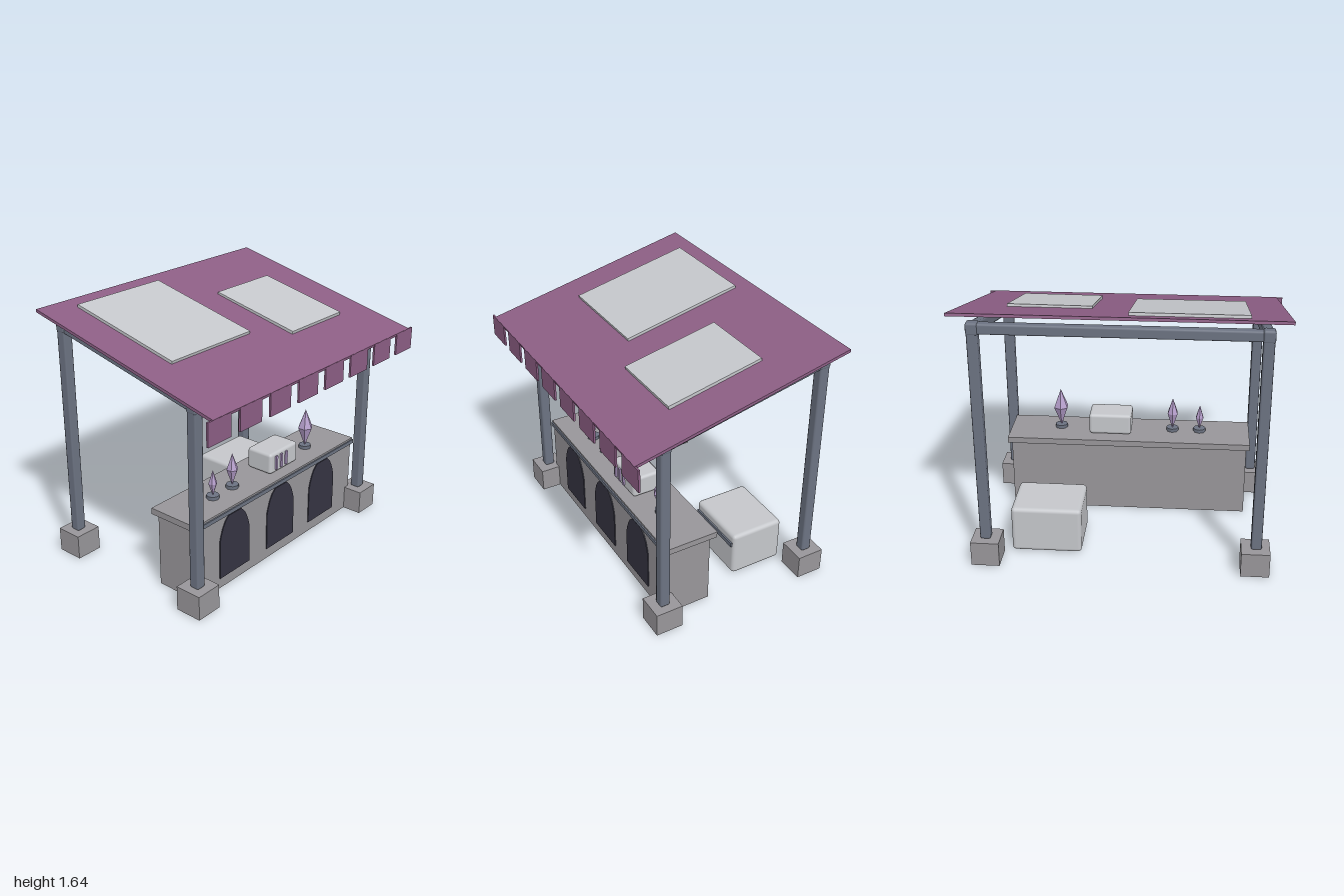
import * as THREE from 'three';
import { RoundedBoxGeometry } from 'three/addons/geometries/RoundedBoxGeometry.js';

const mat = (name, color, flatShading = false) => {
  const m = new THREE.MeshStandardMaterial({ color, flatShading });
  m.name = name;
  return m;
};

export function createModel() {
  const model = new THREE.Group();
  const cloth = mat('plum cloth', 0x8c5e84);
  const metal = mat('slate metal', 0x6c7382);
  const facetedMetal = metal;
  const stone = mat('grey stone', 0x98969a);
  const pale = mat('pale grey', 0xc5c7cb);
  const dark = mat('dark recess', 0x353442);
  const lilac = mat('lilac crystal', 0xb39cc9, true);

  const add = (name, geo, material, x, y, z, parent = model) => {
    const mesh = new THREE.Mesh(geo, material);
    mesh.name = name;
    mesh.position.set(x, y, z);
    parent.add(mesh);
    return mesh;
  };
  const box = (name, m, w, h, d, x, y, z, parent) =>
    add(name, new THREE.BoxGeometry(w, h, d), m, x, y, z, parent);
  const rounded = (name, m, w, h, d, r, x, y, z, seg = 1) =>
    add(name, new RoundedBoxGeometry(w, h, d, seg, r), m, x, y, z);

  // Frame: stone feet, posts, corner joints and sloping side beams
  const frontZ = 0.44, backZ = -0.597, frontY = 1.3, backY = 1.53;
  for (const s of [-1, 1]) {
    const x = s * 0.832;
    for (const [side, z, footZ, top] of [['front', frontZ, 0.44, frontY], ['back', backZ, -0.597, backY]]) {
      box(side + 'Foot', stone, 0.175, 0.158, 0.176, s * 0.828, 0.079, footZ);
      rounded(side + 'Post', metal, 0.066, top - 0.155, 0.066, 0.012, x, (top + 0.155) / 2, z);
      rounded(side + 'Joint', metal, 0.072, 0.076, 0.072, 0.014, x, top, z);
    }
    const run = frontZ - backZ, rise = backY - frontY;
    const beam = rounded('sideBeam', metal, 0.06, 0.064, Math.hypot(run, rise), 0.012,
      x, (frontY + backY) / 2, (frontZ + backZ) / 2);
    beam.rotation.x = Math.atan2(rise, run);
  }
  rounded('frontBeam', metal, 1.66, 0.064, 0.06, 0.012, 0, frontY - 0.003, frontZ);
  rounded('backBeam', metal, 1.66, 0.064, 0.06, 0.012, 0, backY, backZ);

  // Sloping canopy with two patches let through it
  const canopy = new THREE.Group();
  canopy.name = 'canopy';
  canopy.position.set(0, 1.479, 0);
  canopy.rotation.x = Math.atan(0.2285);
  model.add(canopy);
  box('roofSheet', cloth, 1.92, 0.018, 1.402, 0, 0, 0, canopy);
  box('largePatch', pale, 0.68, 0.038, 0.783, -0.39, 0.008, -0.21, canopy);
  const patch = box('smallPatch', pale, 0.505, 0.036, 0.62, 0.437, 0.009, 0.02, canopy);
  patch.rotation.set(-0.008, 0, 0.005);

  // Hanging valance tabs
  for (let i = 0; i < 8; i++) {
    box('valanceTab', cloth, 0.185, 0.142, 0.012, (i - 3.5) * 0.2593, 1.259, 0.68);
  }

  // Counter with a slab top and front rail
  box('counterBody', stone, 1.56, 0.482, 0.313, 0, 0.241, 0.242);
  box('counterTop', stone, 1.6, 0.04, 0.352, 0, 0.502, 0.224);
  box('counterRail', metal, 1.6, 0.026, 0.01, 0, 0.497, 0.404);

  // Arched openings on the counter front
  const half = [[0.138, 0.07], [0.138, 0.32], [0.128, 0.36], [0.11, 0.41], [0.088, 0.447], [0.058, 0.476]];
  const outline = [...half, ...half.map(([x, y]) => [-x, y]).reverse()];
  const arch = new THREE.ExtrudeGeometry(
    new THREE.Shape(outline.map(([x, y]) => new THREE.Vector2(x, y))),
    { depth: 0.007, bevelEnabled: false });
  for (const x of [-0.45, 0, 0.445]) add('archPanel', arch, dark, x, 0, 0.398);

  // Crystals on small six-sided stands
  for (const [x, r, top, mid] of [[-0.468, 0.028, 0.71, 0.622], [-0.287, 0.038, 0.755, 0.648], [0.465, 0.051, 0.798, 0.67]]) {
    const profile = [[0, 0.538], [r, mid], [0, top]].map(([a, b]) => new THREE.Vector2(a, b));
    add('crystal', new THREE.LatheGeometry(profile, 6), lilac, x, 0, 0.243);
    add('crystalStand', new THREE.CylinderGeometry(0.041, 0.041, 0.024, 8), facetedMetal, x, 0.533, 0.243);
  }

  // Countertop device with three lit bars
  rounded('device', pale, 0.28, 0.14, 0.19, 0.02, 0.126, 0.594, 0.233, 2);
  for (let i = 0; i < 3; i++) {
    box('deviceBar', lilac, 0.018, 0.092, 0.012, 0.041 + i * 0.05, 0.596, 0.333);
  }

  // Storage crate behind the counter, with a handle bar
  rounded('storageCrate', pale, 0.44, 0.302, 0.36, 0.026, 0.47, 0.159, -0.336, 2);
  box('crateHandle', metal, 0.4, 0.03, 0.016, 0.47, 0.237, -0.154);

  return model;
}
